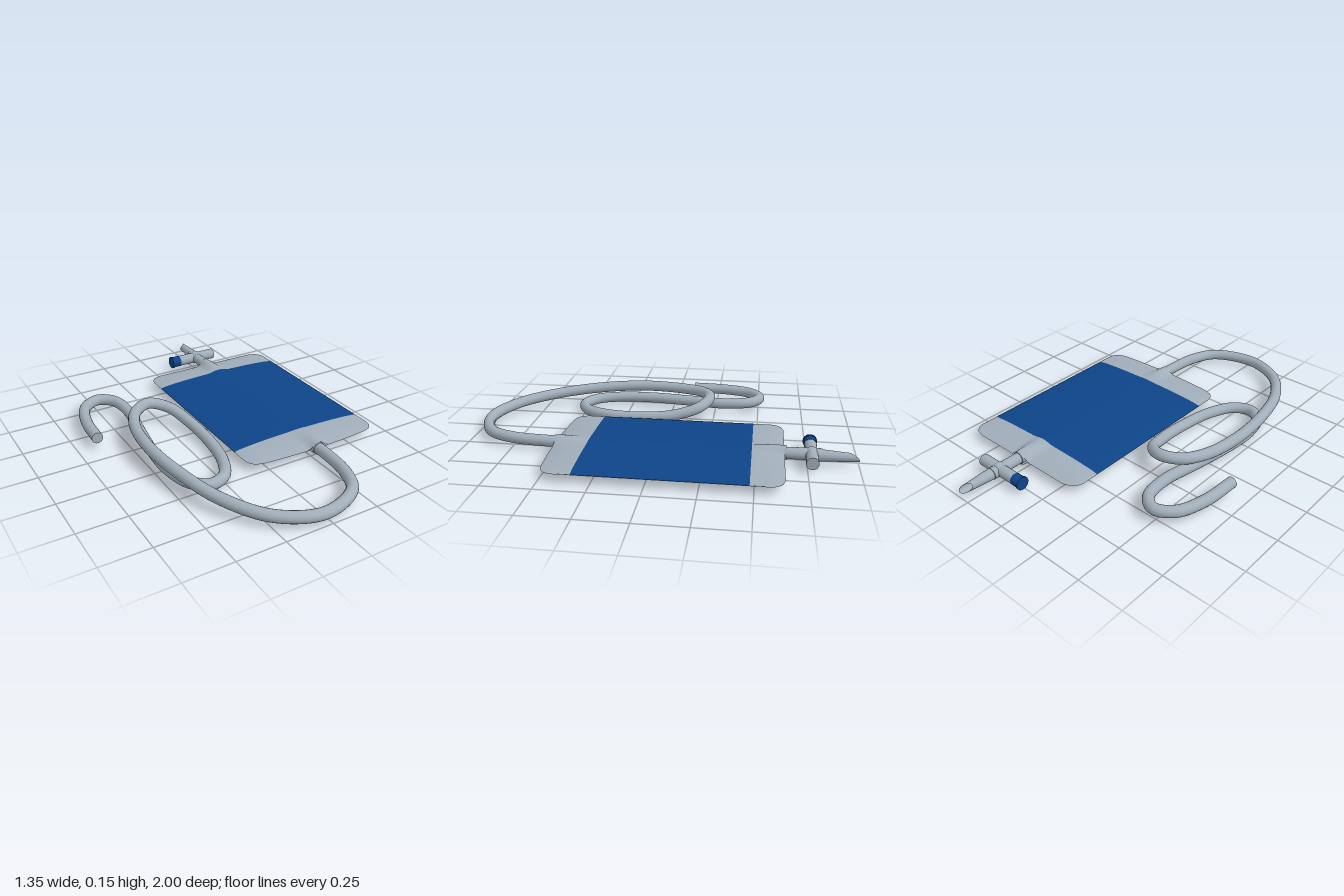
import * as THREE from 'three';

const grey = new THREE.MeshStandardMaterial({ color: 0xa0adb9, side: THREE.DoubleSide });
grey.name = 'clear grey plastic';
const blue = new THREE.MeshStandardMaterial({ color: 0x0d4488, side: THREE.DoubleSide });
blue.name = 'blue';

const CX = 0.285, HALF = 0.387, Z0 = -0.64, Z1 = 0.5, MID = 0.045;

function add(group, name, geometry, material) {
  const mesh = new THREE.Mesh(geometry, material);
  mesh.name = name;
  group.add(mesh);
  return mesh;
}

// Cylinder running along an axis between two coordinates, radius r0 -> r1
function rod(axis, from, to, r0, r1, centre, open = false) {
  const g = new THREE.CylinderGeometry(r1, r0, Math.abs(to - from), 28, 1, open);
  const sign = Math.sign(to - from);
  if (axis === 'z') g.rotateX(sign * Math.PI / 2);
  else g.rotateZ(-sign * Math.PI / 2);
  const m = (from + to) / 2;
  return axis === 'z' ? g.translate(centre[0], centre[1], m) : g.translate(m, centre[0], centre[1]);
}

// Height of the bag skin above (or below) its seam: soft pillow plus port bulges
function bulge(x, z, s) {
  const t = (z - Z0) / (Z1 - Z0) * 2 - 1;
  const pillow = 0.022 * Math.pow(Math.max(0, 1 - s * s), 0.6) * Math.max(0, 1 - Math.pow(Math.abs(t), 8));
  const port = (end, r, len) => {
    const k = Math.max(0, 1 - Math.abs(z - end) / len);
    const wide = 0.036 + 0.05 * (1 - k);
    return r * k * k * (3 - 2 * k) * Math.exp(-Math.pow(Math.abs(x - CX) / wide, 2.4));
  };
  const p = port(Z0, 0.042, 0.36) + port(Z1, 0.034, 0.26);
  return Math.hypot(pillow, p);
}

// One skin of the bag between two z limits; dir is +1 for top, -1 for bottom
function skin(za, zb, dir) {
  const cols = 72, rows = Math.ceil((zb - za) / 0.012), R = 0.075;
  const pos = [], index = [];
  for (let i = 0; i <= rows; i++) {
    const z = za + (zb - za) * i / rows;
    const d = Math.max(0, R - Math.min(z - Z0, Z1 - z));
    const w = HALF - R + Math.sqrt(Math.max(0, R * R - d * d));
    for (let j = 0; j <= cols; j++) {
      const s = j / cols * 2 - 1, x = CX + s * w;
      // front hem bows slightly outward in the middle
      const bow = 0.014 * (1 - s * s) * Math.max(0, (z - 0.34) / (Z1 - 0.34));
      pos.push(x, MID + dir * (bulge(x, z, s) + 0.001), z + bow);
    }
  }
  for (let i = 0; i < rows; i++) for (let j = 0; j < cols; j++) {
    const a = i * (cols + 1) + j, b = a + 1, c = a + cols + 1, e = c + 1;
    if (dir > 0) index.push(a, c, b, b, c, e);
    else index.push(a, b, c, b, e, c);
  }
  const g = new THREE.BufferGeometry();
  g.setAttribute('position', new THREE.Float32BufferAttribute(pos, 3));
  g.setIndex(index);
  g.computeVertexNormals();
  return g;
}

function buildBag() {
  const bag = new THREE.Group();
  bag.name = 'bag';
  add(bag, 'rearHem', skin(Z0, -0.48, 1), grey);
  add(bag, 'bluePanel', skin(-0.48, 0.34, 1), blue);
  add(bag, 'frontHem', skin(0.34, Z1, 1), grey);
  add(bag, 'bagUnderside', skin(Z0, Z1, -1), grey);
  return bag;
}

function buildConnector() {
  const c = new THREE.Group();
  c.name = 'connector';
  const y = 0.05, zc = -0.77;
  add(c, 'rearPort', rod('z', -0.55, -0.65, 0.03, 0.035, [CX, y]), grey);
  add(c, 'stem', rod('z', -0.6, -0.82, 0.029, 0.031, [CX, y]), grey);
  add(c, 'crossArm', rod('x', 0.165, 0.405, 0.031, 0.031, [y, zc]), grey);
  add(c, 'hub', new THREE.SphereGeometry(0.038, 24, 16).translate(CX, y, zc), grey);
  add(c, 'cap', rod('x', 0.12, 0.168, 0.032, 0.032, [y, zc]), blue);
  add(c, 'capRim', rod('x', 0.113, 0.122, 0.036, 0.036, [y, zc]), blue);
  // Hollow spike with a slanted tip
  const spike = rod('z', -0.8, -0.99, 0.031, 0.021, [CX + 0.004, y - 0.002], true);
  const p = spike.attributes.position;
  for (let i = 0; i < p.count; i++) {
    if (p.getZ(i) > -0.9) continue;
    const dx = (p.getX(i) - CX - 0.004) / 0.021, dy = (p.getY(i) - y + 0.002) / 0.021;
    p.setZ(i, -0.972 - 0.022 * dx + 0.017 * dy);
    p.setX(i, p.getX(i) + 0.003);
  }
  spike.computeVertexNormals();
  add(c, 'spike', spike, grey);
  return c;
}

function buildHose() {
  const hose = new THREE.Group();
  hose.name = 'hose';
  const r = 0.03;
  const path = [
    [0.285, 0.045, 0.46], [0.283, 0.045, 0.58], [0.262, 0.045, 0.75], [0.19, 0.045, 0.89],
    [-0.03, 0.045, 0.967], [-0.24, 0.055, 0.88], [-0.385, 0.075, 0.68], [-0.465, 0.098, 0.42],
    [-0.492, 0.11, 0.17], [-0.463, 0.112, -0.05], [-0.395, 0.117, -0.18], [-0.3, 0.118, -0.226],
    [-0.205, 0.09, -0.175], [-0.156, 0.055, -0.04], [-0.146, 0.037, 0.14], [-0.178, 0.031, 0.35],
    [-0.245, 0.031, 0.475], [-0.335, 0.034, 0.51], [-0.415, 0.039, 0.455], [-0.457, 0.045, 0.31],
    [-0.452, 0.05, 0.12], [-0.42, 0.052, -0.1], [-0.388, 0.055, -0.3], [-0.412, 0.06, -0.45],
    [-0.49, 0.062, -0.505], [-0.58, 0.062, -0.45], [-0.633, 0.061, -0.3], [-0.647, 0.061, -0.11],
  ].map(p => new THREE.Vector3(...p));
  const curve = new THREE.CatmullRomCurve3(path);
  add(hose, 'hoseTube', new THREE.TubeGeometry(curve, 320, r, 20, false), grey);
  const end = add(hose, 'hoseEnd', new THREE.CircleGeometry(r, 20), grey);
  end.position.copy(curve.getPoint(1));
  end.lookAt(end.position.clone().add(curve.getTangent(1)));
  add(hose, 'frontPort', rod('z', 0.42, 0.52, 0.028, 0.033, [CX, MID]), grey);
  return hose;
}

export function createModel() {
  const model = new THREE.Group();
  model.name = 'drainageBag';
  model.add(buildBag(), buildConnector(), buildHose());
  return model;
}
